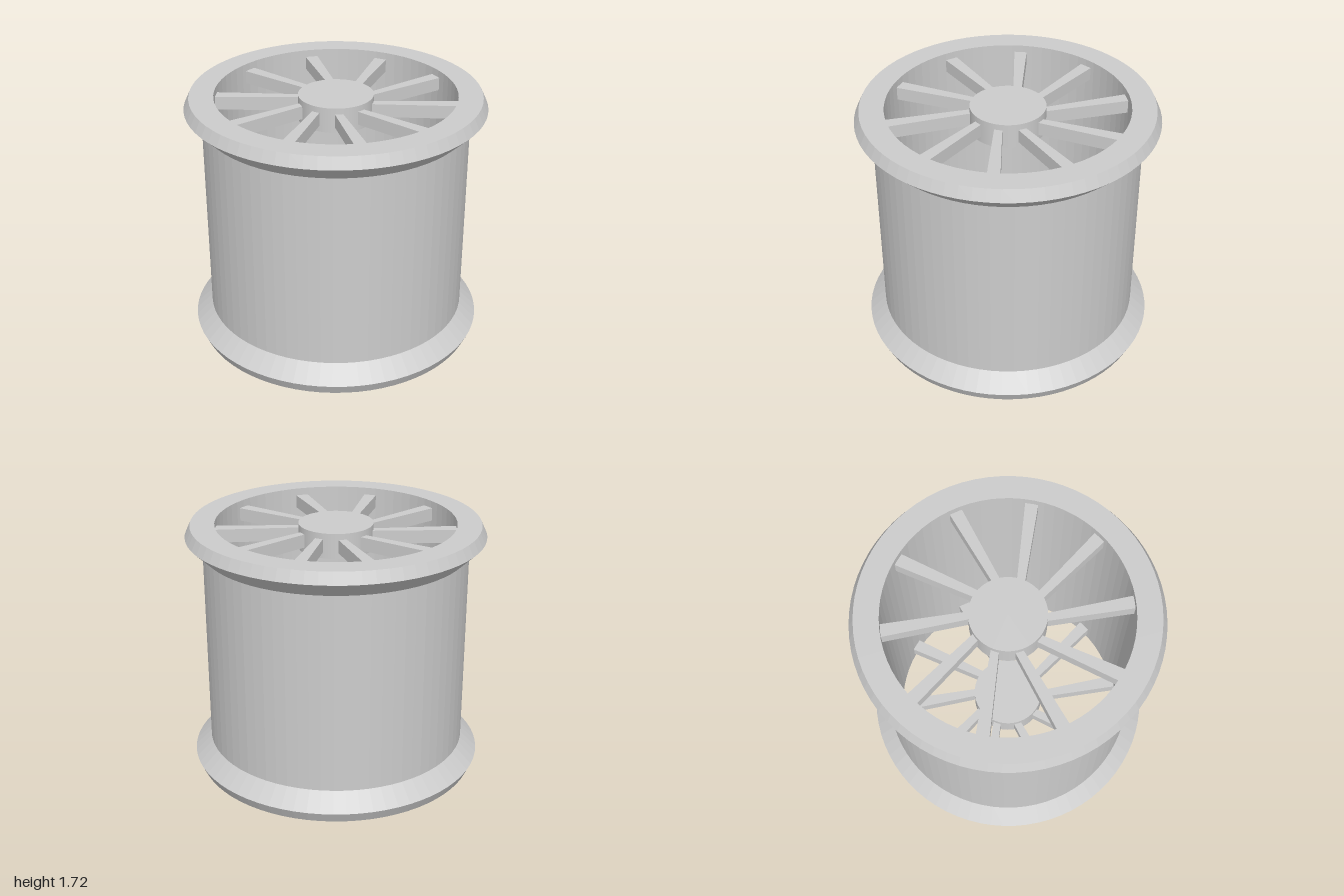
import * as THREE from 'three';

const HEIGHT = 1.72;
const SEGMENTS = 72;
const SPOKES = 10;

// Faceted surface: every face keeps its own normal
function faceted(geometry) {
  const flat = geometry.toNonIndexed();
  flat.computeVertexNormals();
  return flat;
}

export function createModel() {
  const model = new THREE.Group();
  model.name = 'spool';
  const grey = new THREE.MeshStandardMaterial({ color: 0xcccccc });
  grey.name = 'light grey';

  function add(parent, name, geometry) {
    const mesh = new THREE.Mesh(geometry, grey);
    mesh.name = name;
    parent.add(mesh);
    return mesh;
  }

  // Hollow barrel with a bevelled flange at each end
  const profile = [
    [0.803, 0], [0.965, 0], [1, 0.075], [0.888, 0.183],
    [0.888, HEIGHT - 0.183], [1, HEIGHT - 0.075], [0.965, HEIGHT], [0.803, HEIGHT], [0.803, 0],
  ].map(([r, y]) => new THREE.Vector2(r, y));
  add(model, 'barrel', faceted(new THREE.LatheGeometry(profile, SEGMENTS)));

  // Tapered spoke, set slightly off the radial line
  const outline = new THREE.Shape([
    [0.094, 0.22], [0.156, 0.795], [0.07, 0.803], [0.042, 0.22],
  ].map(([x, y]) => new THREE.Vector2(x, y)));
  const spokeGeometry = new THREE.ExtrudeGeometry(outline, { depth: 0.09, bevelEnabled: false });
  spokeGeometry.rotateX(-Math.PI / 2);
  spokeGeometry.translate(0, -0.045, 0);

  const hubGeometry = new THREE.CylinderGeometry(0.25, 0.25, 0.17, SEGMENTS);

  // A spoked wheel closes each end
  for (const [name, y] of [['bottomWheel', 0.095], ['topWheel', HEIGHT - 0.095]]) {
    const wheel = new THREE.Group();
    wheel.name = name;
    wheel.position.y = y;
    add(wheel, 'hub', hubGeometry);
    for (let i = 0; i < SPOKES; i++) {
      add(wheel, 'spoke', spokeGeometry).rotation.y = (i * 2 * Math.PI) / SPOKES;
    }
    model.add(wheel);
  }
  return model;
}
